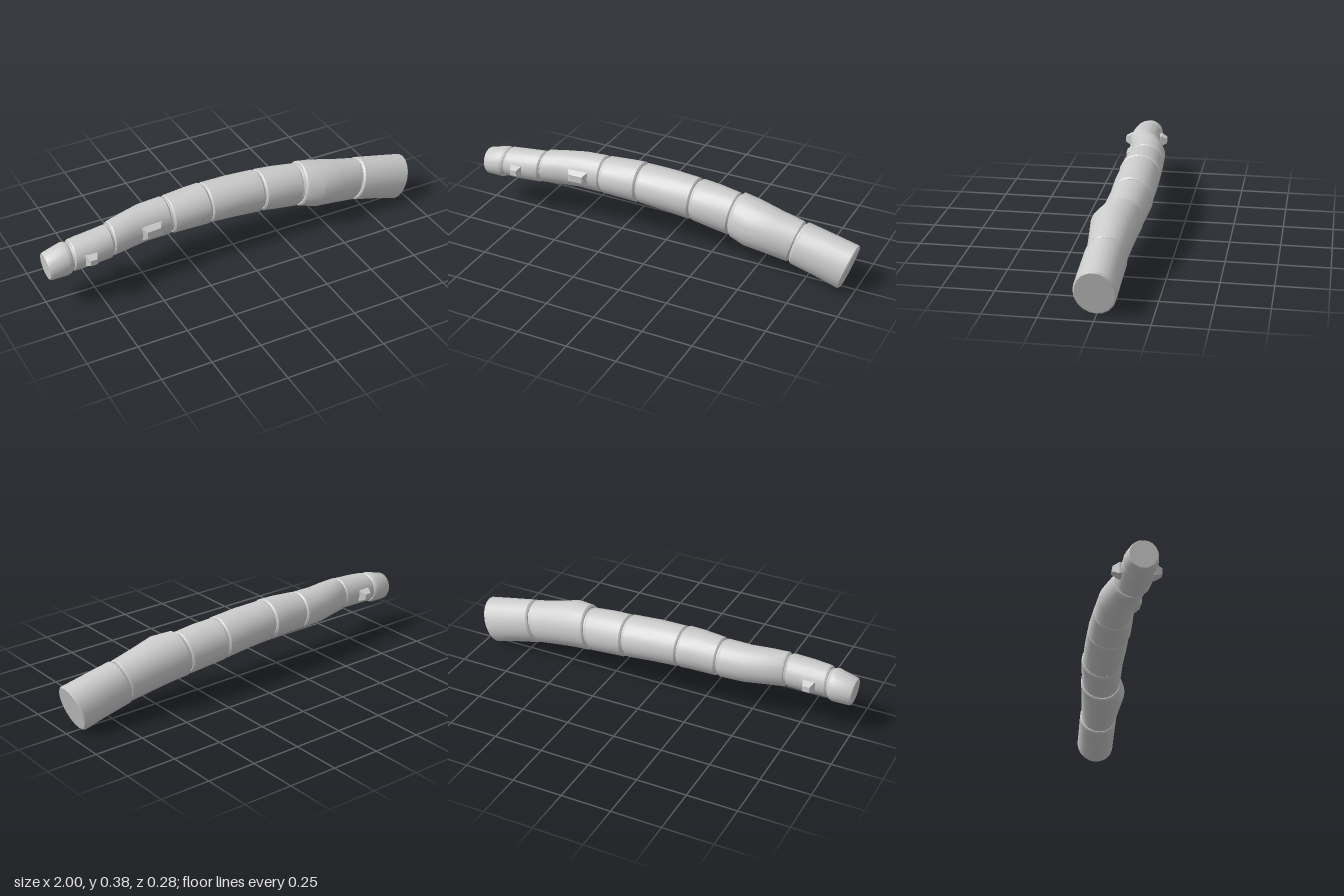
import * as THREE from 'three';
import { toCreasedNormals } from 'three/addons/utils/BufferGeometryUtils.js';

const SIDES = 20;
const material = new THREE.MeshStandardMaterial({ color: 0xcccccc });

// A ring is [x, top y, bottom y, back z, front z, lean (dx per dy)].
const inset = ([x, t, b, z0, z1, k], dx, s) => {
  const y = (t + b) / 2, z = (z0 + z1) / 2;
  return [x + dx, y + (t - y) * s, y + (b - y) * s, z + (z0 - z) * s, z + (z1 - z) * s, k];
};

// Closed tube of elliptical rings running along +x
function loft(rings) {
  const pos = [], index = [];
  for (const [x, t, b, z0, z1, k] of rings) {
    for (let j = 0; j < SIDES; j++) {
      const a = (j / SIDES) * Math.PI * 2, dy = Math.cos(a) * (t - b) / 2;
      pos.push(x + k * dy, (t + b) / 2 + dy, (z0 + z1) / 2 + Math.sin(a) * (z1 - z0) / 2);
    }
  }
  const last = rings.length - 1;
  for (let i = 0; i < last; i++) {
    for (let j = 0; j < SIDES; j++) {
      const a = i * SIDES + j, a1 = i * SIDES + (j + 1) % SIDES;
      index.push(a, a1, a + SIDES, a1, a1 + SIDES, a + SIDES);
    }
  }
  // end caps
  for (let j = 1; j < SIDES - 1; j++) {
    index.push(0, j + 1, j, last * SIDES, last * SIDES + j, last * SIDES + j + 1);
  }
  const geo = new THREE.BufferGeometry();
  geo.setAttribute('position', new THREE.Float32BufferAttribute(pos, 3));
  geo.setIndex(index);
  return toCreasedNormals(geo, 0.5);
}

// Raised block with a chamfered outer face, facing +z
function stud(w, h, d, innerW, innerH) {
  const geo = new THREE.BoxGeometry(w, h, d, 1, 1, 2);
  const p = geo.attributes.position;
  for (let i = 0; i < p.count; i++) {
    if (p.getZ(i) > 0.001) p.setXY(i, p.getX(i) * innerW / w, p.getY(i) * innerH / h);
  }
  return toCreasedNormals(geo, 0.3);
}

const SECTIONS = {
  tipCap: [
    [-0.99, 0.303, 0.165, -0.035, 0.1, -0.08],
    [-0.905, 0.328, 0.167, -0.048, 0.11, 0.03],
    [-0.89, 0.325, 0.17, -0.045, 0.107, 0.06]],
  studSection: [
    [-0.868, 0.333, 0.18, -0.045, 0.108, 0.06],
    [-0.78, 0.342, 0.183, -0.05, 0.11, 0.05],
    [-0.682, 0.35, 0.187, -0.055, 0.104, 0.04]],
  bendSection: [
    [-0.66, 0.358, 0.188, -0.065, 0.095, 0.04],
    [-0.57, 0.365, 0.187, -0.09, 0.08, 0.02],
    [-0.48, 0.369, 0.185, -0.115, 0.063, 0.01],
    [-0.36, 0.373, 0.182, -0.122, 0.06, 0]],
  shortSectionA: [
    [-0.336, 0.374, 0.184, -0.125, 0.066, 0],
    [-0.22, 0.383, 0.183, -0.131, 0.073, 0],
    [-0.152, 0.385, 0.181, -0.135, 0.075, 0]],
  middleSection: [
    [-0.132, 0.381, 0.181, -0.135, 0.07, 0],
    [0.0, 0.379, 0.172, -0.137, 0.073, 0.03],
    [0.14, 0.37, 0.157, -0.135, 0.07, 0.07]],
  shortSectionB: [
    [0.162, 0.366, 0.155, -0.14, 0.07, 0.07],
    [0.25, 0.361, 0.143, -0.132, 0.074, 0.11],
    [0.352, 0.348, 0.13, -0.122, 0.075, 0.15]],
  flaredSection: [
    [0.378, 0.356, 0.124, -0.125, 0.085, 0.15],
    [0.46, 0.348, 0.11, -0.116, 0.112, 0.18],
    [0.57, 0.318, 0.094, -0.105, 0.1, 0.23],
    [0.685, 0.291, 0.075, -0.095, 0.088, 0.27]],
  endSection: [
    [0.706, 0.289, 0.07, -0.102, 0.094, 0.27],
    [0.84, 0.261, 0.037, -0.098, 0.097, 0.29],
    [0.955, 0.236, 0.004, -0.095, 0.1, 0.3]],
};

export function createModel() {
  const group = new THREE.Group();
  const add = (name, geo) => {
    const mesh = new THREE.Mesh(geo, material);
    mesh.name = name;
    group.add(mesh);
    return mesh;
  };

  // Body sections with bevelled rims, joined by narrower collars
  const entries = Object.entries(SECTIONS);
  entries.forEach(([name, rings], i) => {
    const first = rings[0], end = rings[rings.length - 1];
    add(name, loft([inset(first, -0.007, 0.93), ...rings, inset(end, 0.007, 0.93)]));
    if (i < entries.length - 1) {
      const next = entries[i + 1][1][0];
      add('grooveCollar', loft([inset(end, 0, 0.88), inset(next, 0, 0.88)]));
    }
  });

  // Rectangular button on the front of the bend
  const button = add('button', stud(0.11, 0.07, 0.05, 0.07, 0.036));
  button.position.set(-0.465, 0.277, 0.06);
  button.rotation.y = 0.06;

  // Matching studs on front and back near the tip
  for (const s of [1, -1]) {
    const mesh = add(s > 0 ? 'frontStud' : 'backStud', stud(0.06, 0.056, 0.06, 0.034, 0.028));
    mesh.position.set(-0.795, 0.257, s > 0 ? 0.109 : -0.054);
    mesh.rotation.y = s > 0 ? 0 : Math.PI;
  }
  return group;
}
